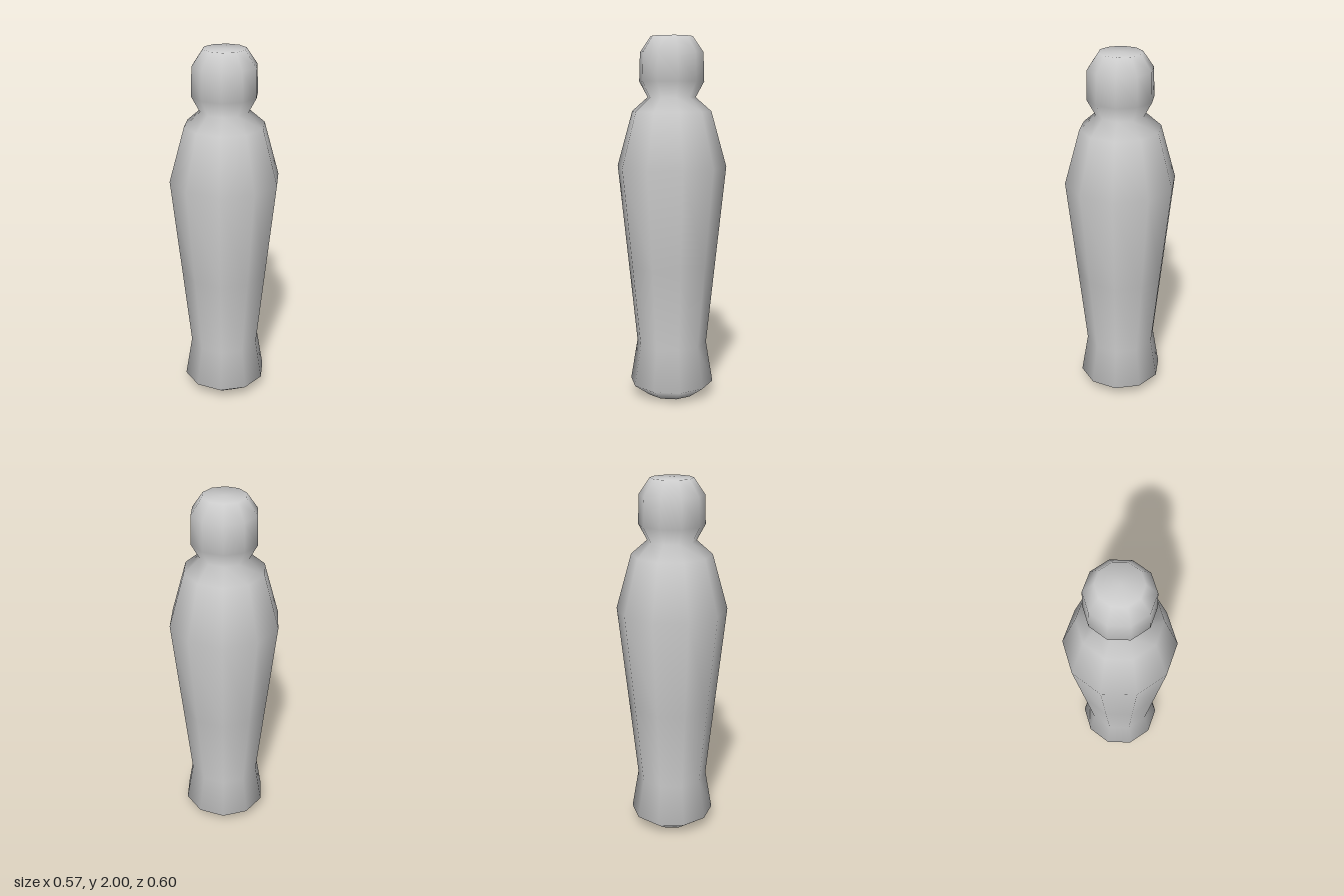
import * as THREE from 'three';

export function createModel() {
  const group = new THREE.Group();
  const material = new THREE.MeshStandardMaterial({ color: 0xcccccc });

  // Profile from base to crown: [radius, height]
  const profile = [
    [0, 0], [0.14, 0],                // underside
    [0.235, 0.07], [0.197, 0.3],      // flared foot and ankle
    [0.244, 0.75], [0.302, 1.3],      // tapering body
    [0.218, 1.6], [0.132, 1.675],     // shoulders and neck
    [0.178, 1.76], [0.173, 1.915],    // head
    [0.115, 2], [0, 2],               // crown
  ].map(([r, y]) => new THREE.Vector2(r, y));

  // Ten-sided smooth-shaded turning, one corner facing the front
  const figure = new THREE.Mesh(new THREE.LatheGeometry(profile, 10), material);
  figure.name = 'pegFigure';
  group.add(figure);
  return group;
}
